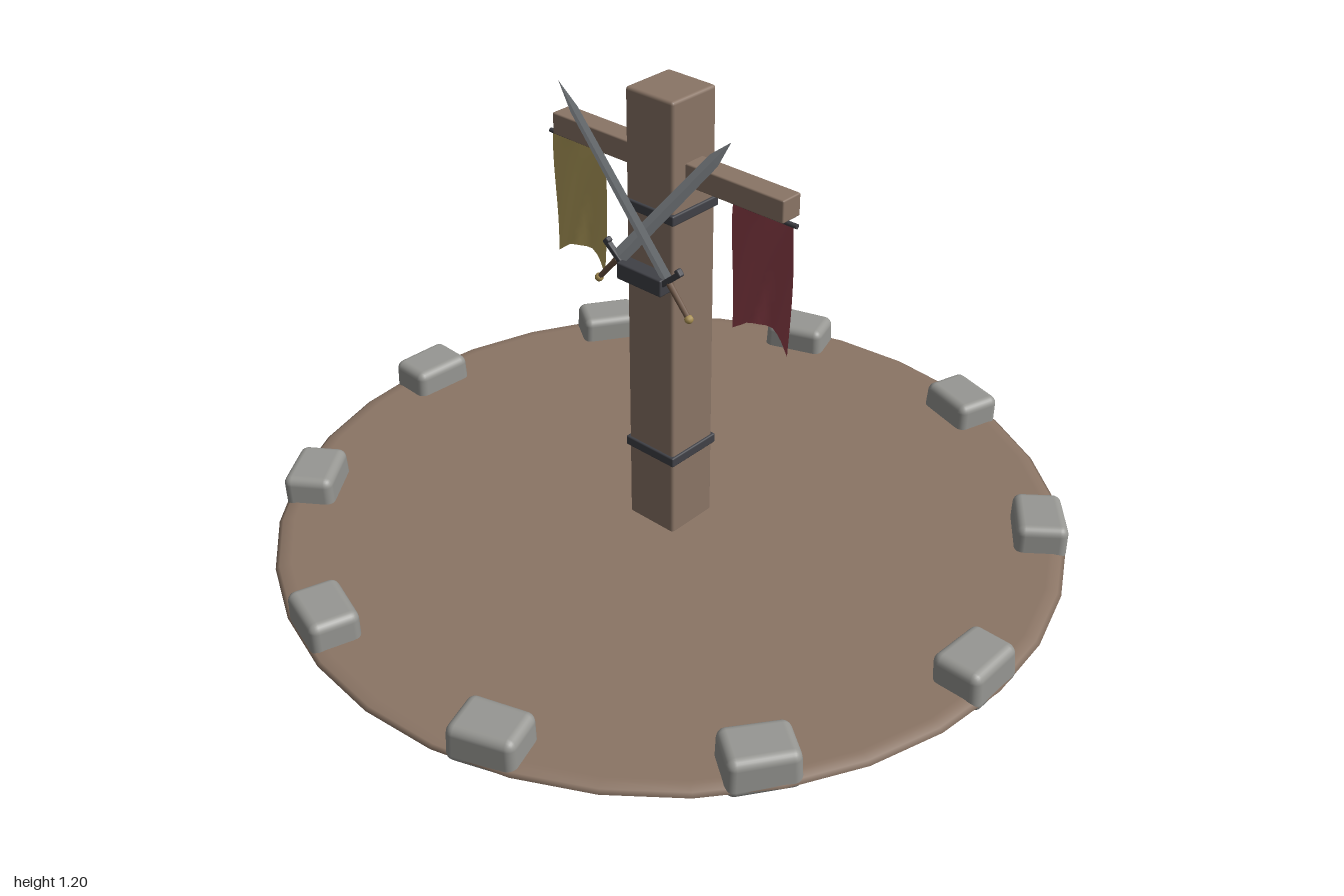
import * as THREE from 'three';
import { RoundedBoxGeometry } from 'three/addons/geometries/RoundedBoxGeometry.js';

const mat = (name, color, side = THREE.FrontSide) => {
  const m = new THREE.MeshStandardMaterial({ color, side });
  m.name = name;
  return m;
};

export function createModel() {
  const root = new THREE.Group();
  root.name = 'bannerPost';
  const earth = mat('earth', 0x8b7565);
  const wood = mat('wood', 0x8a7566);
  const stone = mat('stone', 0x979793);
  const iron = mat('iron', 0x404147);
  const steel = mat('steel', 0xa9afb5);
  const grip = mat('gripLeather', 0x6e5645);
  const brass = mat('brass', 0xa88f52);
  const red = mat('redCloth', 0x95434d, THREE.DoubleSide);
  const yellow = mat('yellowCloth', 0xb8a35f, THREE.DoubleSide);

  const add = (parent, name, geometry, material, x = 0, y = 0, z = 0) => {
    const mesh = new THREE.Mesh(geometry, material);
    mesh.name = name;
    mesh.position.set(x, y, z);
    parent.add(mesh);
    return mesh;
  };
  const block = (w, h, d, r) => new RoundedBoxGeometry(w, h, d, 2, r);
  // Facets with hard edges
  const faceted = (geometry) => {
    const g = geometry.toNonIndexed();
    g.computeVertexNormals();
    return g;
  };

  // Round ground disc with a softened rim
  const rim = [[0, 0.01], [0.955, 0.01], [0.965, 0.01], [0.99, 0.016], [1, 0.022],
    [0.99, 0.029], [0.97, 0.033], [0.96, 0.033], [0, 0.033]];
  add(root, 'ground', new THREE.LatheGeometry(rim.map(p => new THREE.Vector2(...p)), 32), earth);

  // Ring of ten slightly uneven stones
  let seed = 7;
  const jitter = (a) => {
    seed = (seed * 16807) % 2147483647;
    return (seed / 2147483647 - 0.5) * 2 * a;
  };
  for (let i = 0; i < 10; i++) {
    const a = i * Math.PI / 5;
    const g = new RoundedBoxGeometry(0.125, 0.098, 0.17, 3, 0.022);
    const p = g.attributes.position;
    const lean = jitter(0.08), taper = jitter(0.06);
    for (let k = 0; k < p.count; k++) {
      const y = p.getY(k), z = p.getZ(k);
      p.setX(k, p.getX(k) * (1 + z * taper * 10) + y * lean);
      p.setZ(k, z * (1 - y * 0.6));
    }
    g.computeBoundingBox();
    const s = add(root, 'stone', g, stone, Math.cos(a) * 0.93, 0.052, Math.sin(a) * 0.93);
    s.rotation.y = -a + jitter(0.05);
  }

  // Post, crossbeam and iron bands
  add(root, 'post', block(0.146, 1.18, 0.146, 0.008), wood, 0, 0.61, 0);
  add(root, 'crossbeam', block(0.714, 0.056, 0.06, 0.004), wood, 0, 1.012, 0);
  for (const y of [0.248, 0.912]) add(root, 'ironBand', block(0.158, 0.026, 0.158, 0.004), iron, 0, y, 0);
  add(root, 'swordBracket', block(0.14, 0.044, 0.052, 0.004), iron, 0, 0.748, 0.087);

  // Crossed swords, each with its origin at the guard and the tip along +y
  for (const s of [1, -1]) {
    const sword = new THREE.Group();
    sword.name = s > 0 ? 'swordLeaningRight' : 'swordLeaningLeft';
    const blade = add(sword, 'blade', faceted(new THREE.CylinderGeometry(0.016, 0.02, 0.45, 4)), steel, 0, 0.225, 0);
    const tip = add(sword, 'bladeTip', faceted(new THREE.ConeGeometry(0.016, 0.076, 4)), steel, 0, 0.488, 0);
    blade.scale.z = tip.scale.z = 0.22;
    add(sword, 'guard', block(0.1, 0.014, 0.014, 0.003), iron);
    for (const e of [-1, 1]) {
      add(sword, 'guardEnd', block(0.014, 0.02, 0.016, 0.004), iron, e * 0.048, 0.003, 0);
    }
    add(sword, 'grip', new THREE.CylinderGeometry(0.008, 0.007, 0.09, 8), grip, 0, -0.05, 0);
    add(sword, 'pommel', new THREE.SphereGeometry(0.011, 10, 8), brass, 0, -0.1, 0);
    sword.position.set(s * 0.082, 0.77, 0.096 + s * 0.003);
    sword.rotation.z = s * 0.707;
    root.add(sword);
  }

  // Hanging banners with a notched lower edge and gentle folds
  for (const s of [1, -1]) {
    const g = new THREE.PlaneGeometry(0.172, 1, 12, 14);
    const p = g.attributes.position;
    for (let k = 0; k < p.count; k++) {
      const u = p.getX(k) / 0.086;
      const v = 0.5 - p.getY(k);
      const notch = 0.048 * Math.min(1, (1 - Math.abs(u)) * 1.4);
      p.setXYZ(k, p.getX(k) * (1 + 0.03 * v),
        -v * (0.328 - notch), 0.011 * Math.sin(u * 4 + v * 3) * Math.sqrt(v));
    }
    g.computeVertexNormals();
    add(root, s > 0 ? 'redBanner' : 'yellowBanner', g, s > 0 ? red : yellow, s * 0.287, 0.98, 0.014);
    const rod = add(root, 'bannerRod', new THREE.CylinderGeometry(0.006, 0.006, 0.19, 8), iron, s * 0.288, 0.981, 0.012);
    rod.rotation.z = Math.PI / 2;
  }
  return root;
}
